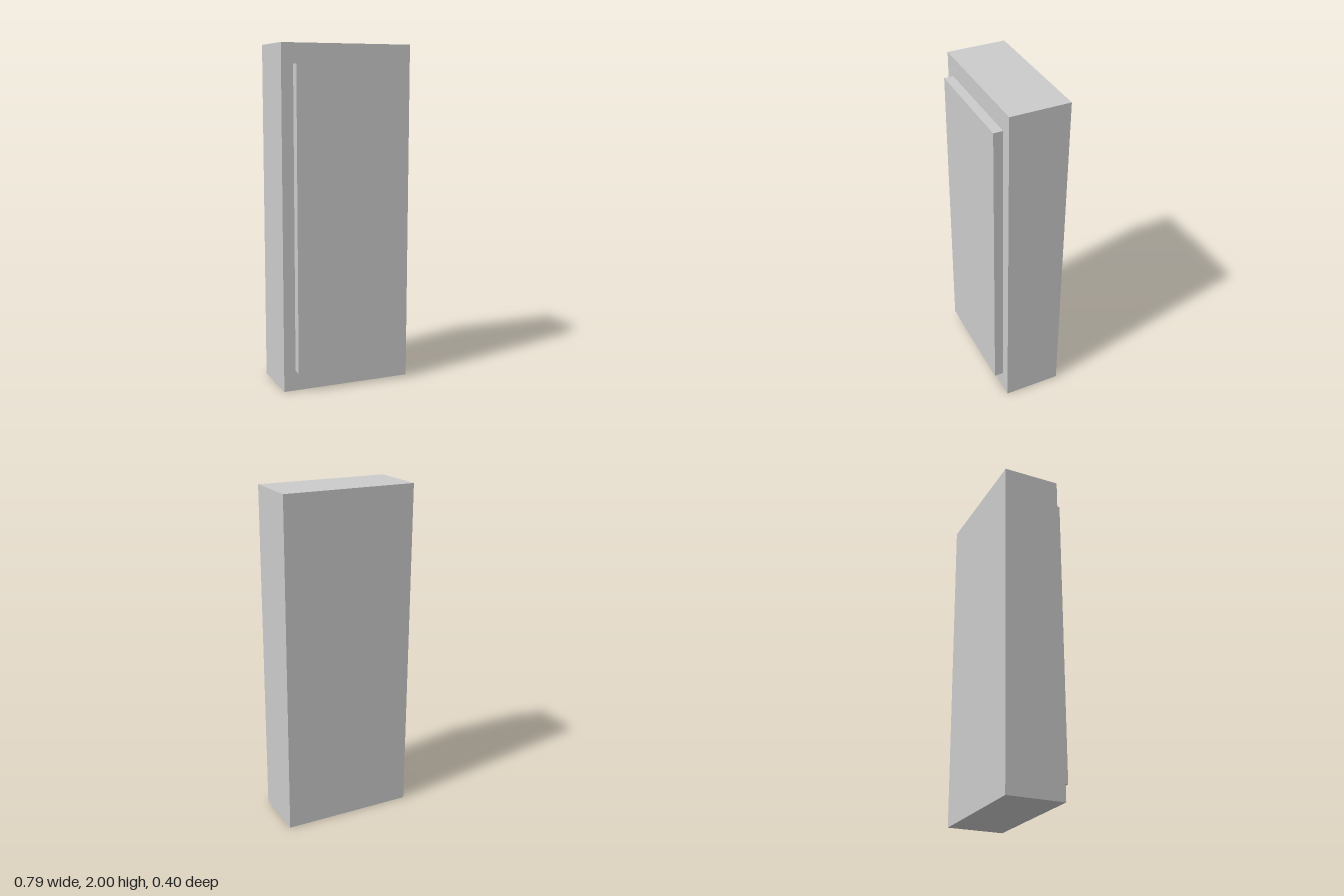
import * as THREE from 'three';

export function createModel() {
  const group = new THREE.Group();
  const material = new THREE.MeshStandardMaterial({ color: 0xcccccc });

  // Box given by its half width and its y and z extents
  function addBox(name, halfWidth, [y0, y1], [z0, z1]) {
    const mesh = new THREE.Mesh(new THREE.BoxGeometry(halfWidth * 2, y1 - y0, z1 - z0), material);
    mesh.position.set(0, (y0 + y1) / 2, (z0 + z1) / 2);
    mesh.name = name;
    group.add(mesh);
  }

  // Upright slab
  addBox('body', 0.395, [0, 2], [-0.2, 0.146]);
  // Raised panel on the front face
  addBox('frontPanel', 0.325, [0.12, 1.885], [0.146, 0.2]);

  return group;
}
